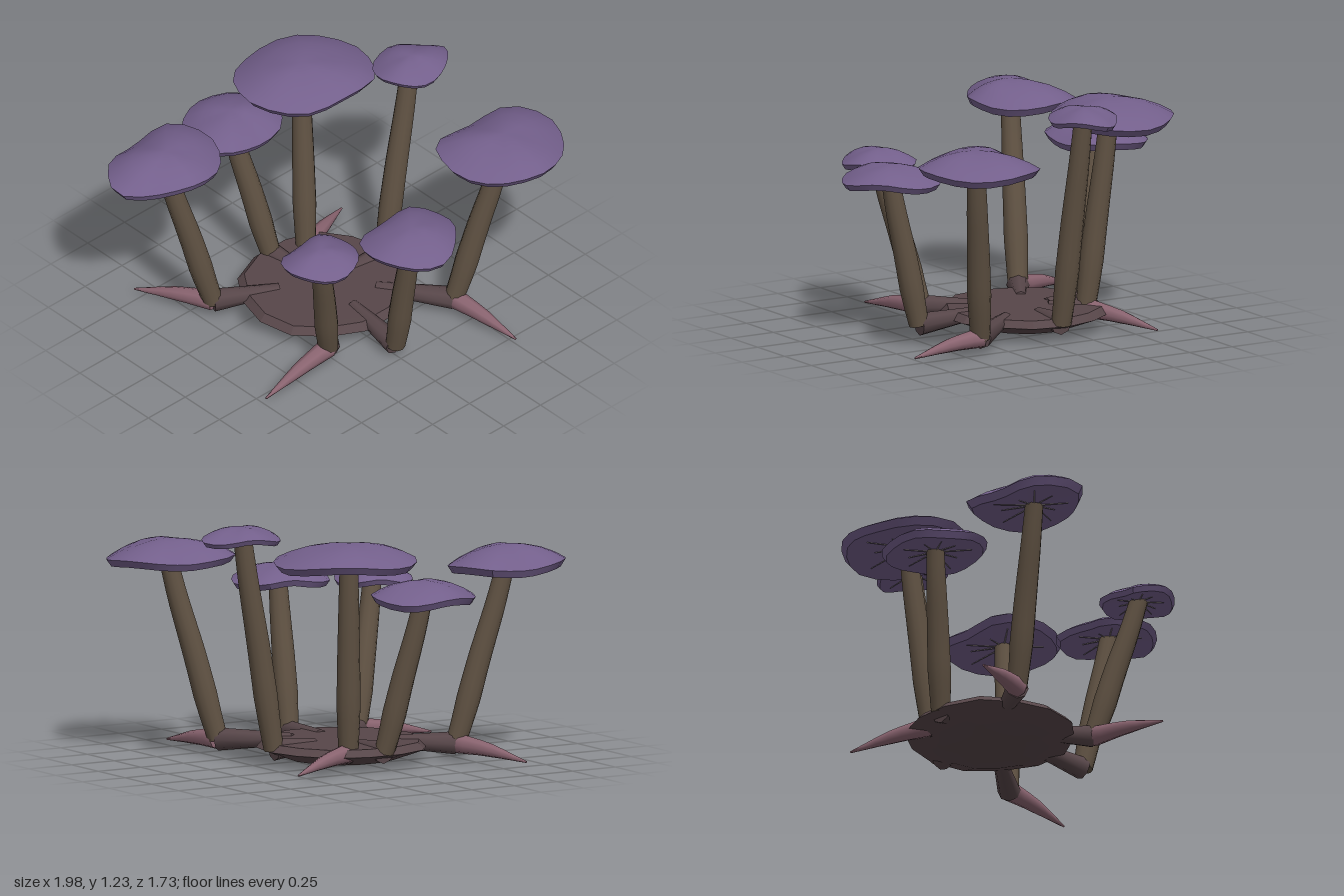
import * as THREE from 'three';
import { toCreasedNormals } from 'three/addons/utils/BufferGeometryUtils.js';

const mat = (name, color) => Object.assign(new THREE.MeshStandardMaterial({ color }), { name });
const capPurple = mat('cap purple', 0x735f8b);
const stemBrown = mat('stem brown', 0x605243);
const baseBrown = mat('base brown', 0x574649);
const spikePink = mat('spike pink', 0x8a6470);
const gillPale = mat('gill pale', 0x9a8e92);

const V = (x, y, z) => new THREE.Vector3(x, y, z);
const center = V(0.05, 0.1, -0.12);

// Skin a list of equal-length closed rings
function loft(rings, crease) {
  const n = rings[0].length, pos = [], idx = [];
  rings.forEach(r => r.forEach(p => pos.push(p.x, p.y, p.z)));
  for (let i = 0; i < rings.length - 1; i++) {
    for (let j = 0; j < n; j++) {
      const k = (j + 1) % n;
      const a = i * n + j, b = i * n + k, c = a + n, d = b + n;
      idx.push(a, d, c, a, b, d);
    }
  }
  const g = new THREE.BufferGeometry();
  g.setAttribute('position', new THREE.Float32BufferAttribute(pos, 3));
  g.setIndex(idx);
  return toCreasedNormals(g, crease);
}

// Tapered tube through points, closed at both ends
function taper(points, radii, sides, steps) {
  const curve = new THREE.CatmullRomCurve3(points);
  const fr = curve.computeFrenetFrames(steps, false);
  const ring = (i, r) => Array.from({ length: sides }, (_, j) => {
    const a = j / sides * Math.PI * 2;
    return curve.getPointAt(i / steps)
      .addScaledVector(fr.normals[i], r * Math.cos(a))
      .addScaledVector(fr.binormals[i], r * Math.sin(a));
  });
  const rings = [ring(0, 0)];
  for (let i = 0; i <= steps; i++) {
    const u = i / steps * (radii.length - 1);
    const k = Math.min(Math.floor(u), radii.length - 2);
    rings.push(ring(i, THREE.MathUtils.lerp(radii[k], radii[k + 1], u - k)));
  }
  rings.push(ring(steps, 0));
  return loft(rings, 0.9);
}

function add(parent, name, geometry, material) {
  const m = new THREE.Mesh(geometry, material);
  m.name = name;
  parent.add(m);
}

// Irregular domed cap with a tucked rim and fine gills below.
// radii: reach of the rim every 45 degrees, starting at +x and turning to +z
function addCap(parent, c, radii, h) {
  const corners = radii.map((r, i) => V(r * Math.cos(i * Math.PI / 4), 0, r * Math.sin(i * Math.PI / 4)));
  const rim = new THREE.CatmullRomCurve3(corners, true).getSpacedPoints(20).slice(0, 20);
  const wave = p => 0.012 * Math.sin(3 * Math.atan2(p.z, p.x) + c.y * 20);
  const at = (p, t, y) => V(c.x + p.x * t, c.y + y + wave(p) * t, c.z + p.z * t);
  const skirt = -1.4 * h;
  const profile = [
    [0, 0], [0.3, -0.1 * h], [0.58, -0.32 * h], [0.82, -0.65 * h],
    [1, -h], [0.92, skirt], [0.15, skirt + 0.02], [0, skirt + 0.02]
  ];
  add(parent, 'cap', loft(profile.map(([t, y]) => rim.map(p => at(p, t, y))), 0.6), capPurple);
  for (let j = 0; j < rim.length; j += 2) {
    const line = [0.15, j % 4 ? 0.5 : 0.7].map(t => at(rim[j], t, skirt + 0.018 - 0.026 * (t - 0.15)));
    add(parent, 'gill', taper(line, [0.004, 0.002], 4, 1), gillPale);
  }
}

// Root out of the base, leaning stem, cap and an optional ground spike
function mushroom({ foot, capTop, radii, h, spike }) {
  const g = new THREE.Group();
  g.name = 'mushroom';
  const base = V(...foot), top = V(...capTop);
  const inner = base.clone().lerp(center, 0.6).setY(0.1);
  add(g, 'root', taper([inner, base], [0.03, 0.058], 8, 2), baseBrown);

  // The stem rises steeply from the elbow, then leans toward the cap
  const end = top.clone().setY(top.y - 1.4 * h + 0.028);
  const bend = (lean, rise) => base.clone().lerp(end, lean).setY(THREE.MathUtils.lerp(base.y, end.y, rise));
  const path = [base, bend(0.14, 0.13), bend(0.48, 0.48), bend(0.8, 0.78), end];
  add(g, 'stem', taper(path, [0.05, 0.06, 0.057, 0.052, 0.046], 12, 12), stemBrown);

  if (spike) {
    const tip = V(spike[0], 0.03, spike[1]);
    const mid = base.clone().lerp(tip, 0.45).add(V(0, 0.01, 0));
    add(g, 'spike', taper([base, mid, tip], [0.052, 0.034, 0.005], 8, 6), spikePink);
  }
  addCap(g, top, radii, h);
  return g;
}

export function createModel() {
  const model = new THREE.Group();
  model.name = 'mushroomCluster';

  // Faceted lens-shaped base
  const sides = 14;
  const disc = [[0, 0.12], [0.92, 0.115], [1, 0.08], [0.62, 0.02], [0, 0]].map(([t, y]) =>
    Array.from({ length: sides }, (_, j) => {
      const a = j / sides * Math.PI * 2, r = t * (1 + 0.02 * Math.sin(5 * a));
      return V(center.x + 0.43 * r * Math.cos(a), y, center.z + 0.42 * r * Math.sin(a));
    }));
  add(model, 'base', loft(disc, 0.3), baseBrown);

  // Back right
  model.add(mushroom({
    foot: [-0.44, 0.09, -0.4], capTop: [-0.67, 1.09, -0.5], h: 0.095, spike: [-0.61, -0.79],
    radii: [0.32, 0.27, 0.23, 0.22, 0.33, 0.28, 0.24, 0.34]
  }));
  // Back middle
  model.add(mushroom({
    foot: [0.03, 0.09, -0.48], capTop: [-0.1, 0.97, -0.64], h: 0.085,
    radii: [0.27, 0.26, 0.22, 0.26, 0.29, 0.24, 0.23, 0.27]
  }));
  // Back left
  model.add(mushroom({
    foot: [0.19, 0.09, -0.4], capTop: [0.25, 1.165, -0.5], h: 0.09, spike: [0.59, -0.57],
    radii: [0.38, 0.37, 0.28, 0.3, 0.34, 0.34, 0.31, 0.33]
  }));
  // Left side
  model.add(mushroom({
    foot: [0.44, 0.09, -0.1], capTop: [0.63, 1.23, -0.11], h: 0.06,
    radii: [0.23, 0.18, 0.17, 0.18, 0.19, 0.19, 0.17, 0.17]
  }));
  // Front left
  model.add(mushroom({
    foot: [0.46, 0.08, 0.39], capTop: [0.66, 1.09, 0.54], h: 0.09, spike: [0.5, 0.8],
    radii: [0.33, 0.3, 0.3, 0.29, 0.32, 0.34, 0.26, 0.33]
  }));
  // Front middle
  model.add(mushroom({
    foot: [0, 0.07, 0.46], capTop: [-0.03, 0.9, 0.61], h: 0.075,
    radii: [0.26, 0.22, 0.25, 0.24, 0.25, 0.26, 0.19, 0.27]
  }));
  // Front right
  model.add(mushroom({
    foot: [-0.28, 0.09, 0.27], capTop: [-0.46, 0.88, 0.41], h: 0.065, spike: [-0.74, 0.31],
    radii: [0.2, 0.19, 0.19, 0.18, 0.2, 0.2, 0.145, 0.2]
  }));
  return model;
}
